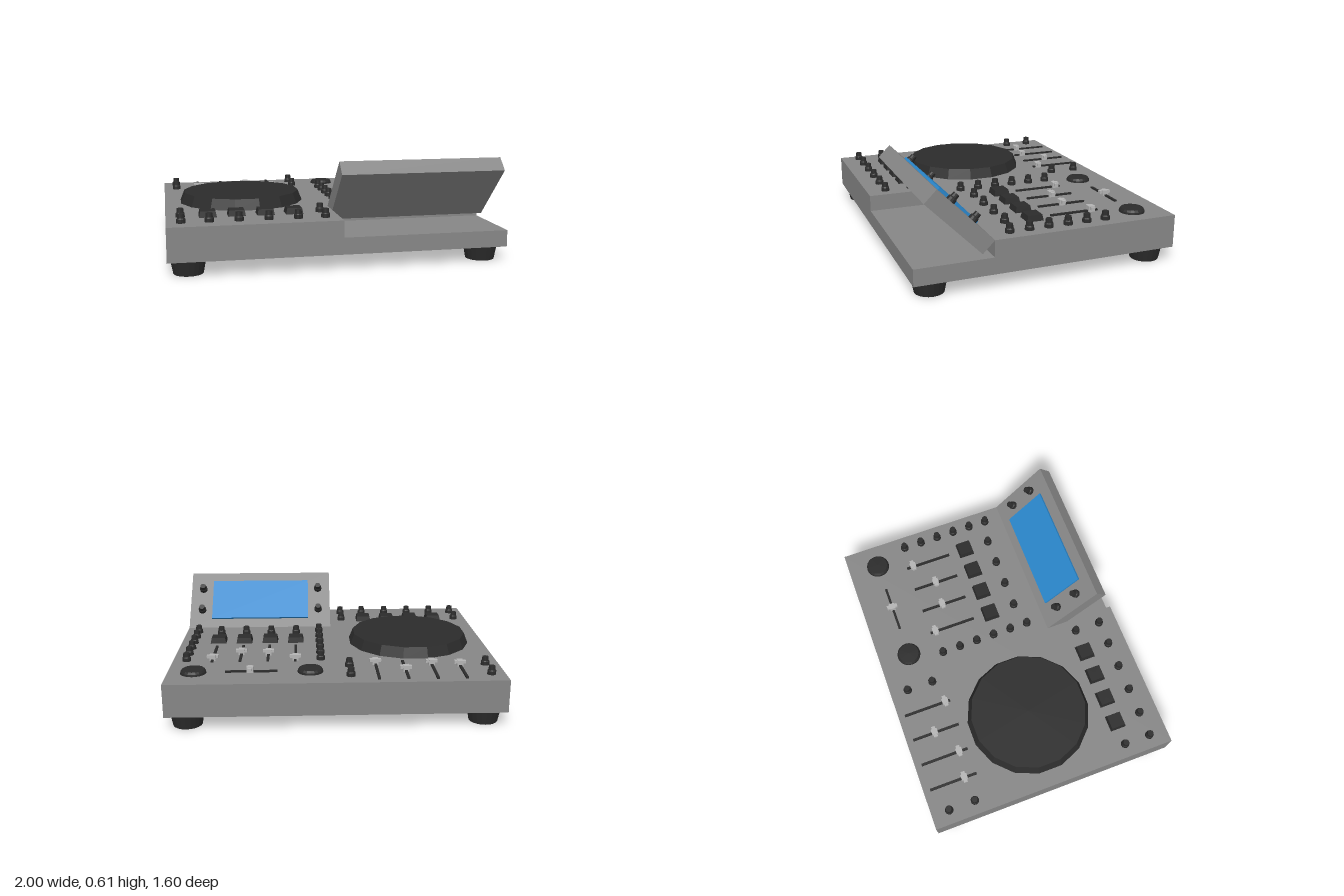
import * as THREE from 'three';

const mat = (color) => new THREE.MeshStandardMaterial({ color, flatShading: true });

export function createModel() {
  const model = new THREE.Group();
  model.name = 'djController';
  const grey = mat(0x868686), light = mat(0xb4b4b4), dark = mat(0x2b2b2b), blue = mat(0x2a87cc);
  const DECK = 0.29;

  const add = (name, geometry, material, x, y, z, parent = model) => {
    const mesh = new THREE.Mesh(geometry, material);
    mesh.name = name;
    mesh.position.set(x, y, z);
    parent.add(mesh);
    return mesh;
  };
  const lathe = (points, sides) =>
    new THREE.LatheGeometry(points.map(([r, y]) => new THREE.Vector2(r, y)), sides);

  // Body: full base slab, with an L-shaped deck leaving the screen recess
  add('baseSlab', new THREE.BoxGeometry(2, 0.1, 1.6), grey, 0, 0.14, 0);
  const outline = new THREE.Shape([
    [-1, -0.8], [0, -0.8], [0, -0.34], [1, -0.34], [1, 0.8], [-1, 0.8],
  ].map(([x, y]) => new THREE.Vector2(x, y)));
  const deck = new THREE.ExtrudeGeometry(outline, { depth: 0.1, bevelEnabled: false });
  deck.rotateX(-Math.PI / 2);
  add('deck', deck, grey, 0, 0.19, 0);

  // Feet
  const foot = new THREE.CylinderGeometry(0.103, 0.086, 0.09, 20);
  for (const x of [-0.88, 0.88])
    for (const z of [-0.68, 0.68]) add('foot', foot, dark, x, 0.045, z);

  // Jog wheel
  const wheel = new THREE.CylinderGeometry(0.372, 0.398, 0.066, 16);
  wheel.rotateY(Math.PI / 16);
  add('jogWheel', wheel, dark, -0.508, DECK + 0.033, 0);

  // Small knobs
  const knobGeo = lathe([[0.027, 0], [0.026, 0.022], [0.021, 0.028], [0.019, 0.052], [0, 0.052]], 12);
  const knob = (x, z, parent = model, y = DECK) => add('knob', knobGeo, dark, x, y, z, parent);
  const leftX = [-0.757, -0.588, -0.417, -0.246];
  const rightX = [0.243, 0.414, 0.585, 0.756];
  for (const x of [-0.915, -0.085])
    for (const z of [-0.685, -0.515, 0.51, 0.68]) knob(x, z);
  for (const x of leftX) knob(x, 0.68);
  for (const x of rightX) knob(x, 0.185);
  for (const x of [0.085, 0.915])
    for (let i = 0; i < 6; i++) knob(x, -0.38 + i * 0.12);

  // Large low dials
  const dial = lathe([[0.077, 0], [0.075, 0.012], [0.066, 0.024], [0, 0.026]], 20);
  for (const x of [0.152, 0.845]) add('dial', dial, dark, x, DECK, -0.6);

  // Square pads with a slight taper
  const pad = new THREE.CylinderGeometry(0.063, 0.073, 0.036, 4);
  pad.rotateY(Math.PI / 4);
  for (const x of leftX) add('pad', pad, dark, x, DECK + 0.018, 0.51);
  for (const x of rightX) add('pad', pad, dark, x, DECK + 0.018, 0.013);

  // Faders: slot along local z, cap offset from the slot centre
  const slot = new THREE.BoxGeometry(0.016, 0.012, 0.31);
  const stem = new THREE.BoxGeometry(0.036, 0.036, 0.04);
  const grip = new THREE.BoxGeometry(0.07, 0.018, 0.025);
  const fader = (x, z, offset) => {
    const group = new THREE.Group();
    group.name = 'fader';
    group.position.set(x, DECK, z);
    add('faderSlot', slot, dark, 0, 0.004, 0, group);
    add('faderCap', stem, light, 0, 0.018, offset, group);
    add('faderGrip', grip, light, 0, 0.024, offset, group);
    model.add(group);
    return group;
  };
  [0.073, 0.098, -0.008, 0.122].forEach((o, i) => fader(leftX[i], -0.602, o));
  [-0.12, -0.013, -0.002, -0.11].forEach((o, i) => fader(rightX[i], -0.26, o));
  fader(0.502, -0.6, 0.008).rotation.y = Math.PI / 2;

  // Tilted screen panel, hinged at the rear edge of the recess
  const panel = new THREE.Group();
  panel.name = 'screenPanel';
  panel.position.set(0.5, DECK, 0.34);
  panel.rotation.x = -Math.PI / 4;
  model.add(panel);
  add('panelBody', new THREE.BoxGeometry(1, 0.1, 0.455), grey, 0, -0.05, 0.2275, panel);
  add('screen', new THREE.BoxGeometry(0.686, 0.03, 0.31), blue, 0, 0, 0.225, panel);
  for (const x of [-0.415, 0.415])
    for (const z of [0.142, 0.315]) knob(x, z, panel, 0);

  return model;
}
